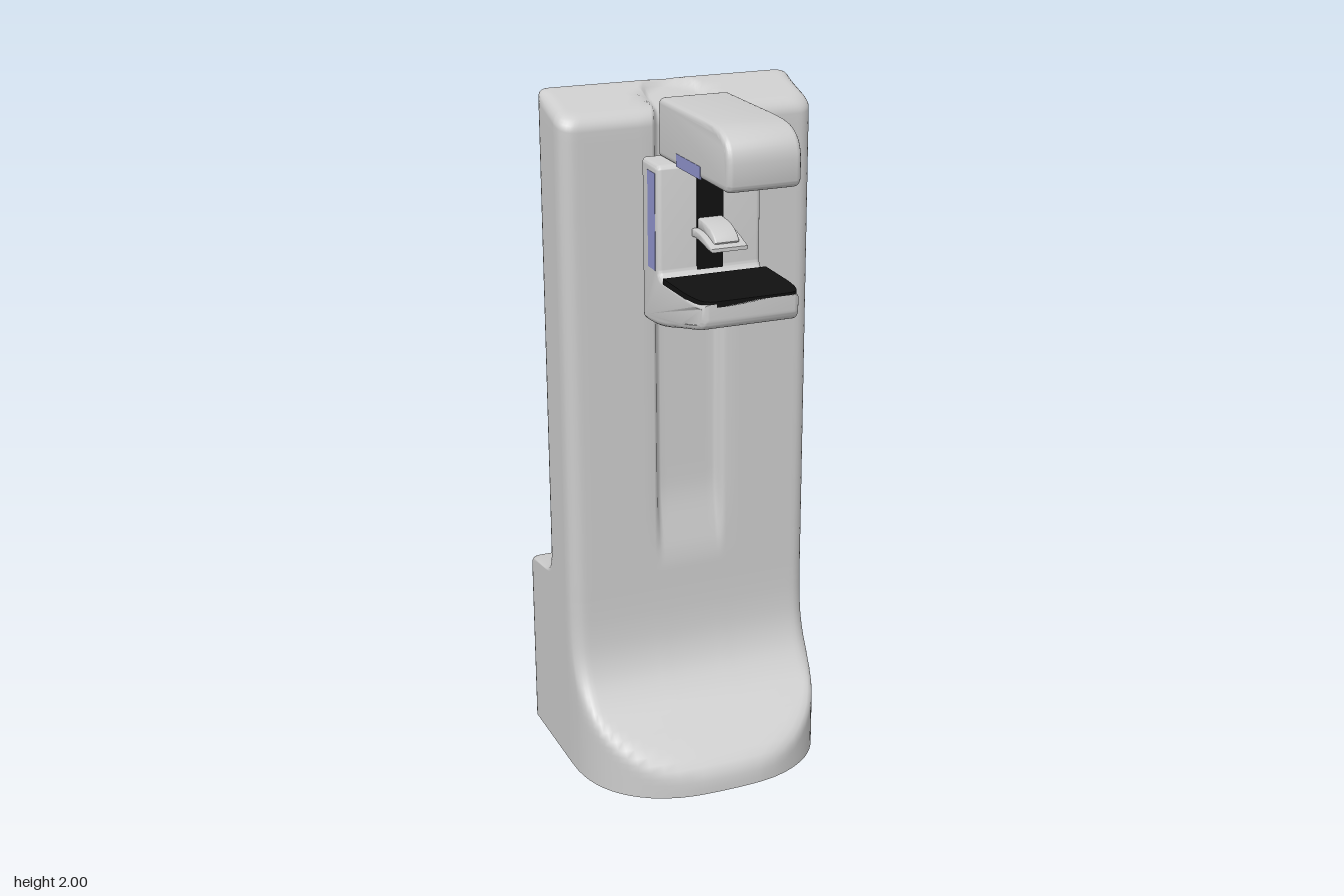
import * as THREE from 'three';
import { toCreasedNormals } from 'three/addons/utils/BufferGeometryUtils.js';

const W = 0.372, CX = -0.015, ROUND = 0.035;
const paint = (color) => new THREE.MeshStandardMaterial({ color, roughness: 0.7 });
const smooth = THREE.MathUtils.smoothstep;

// Turns [y, z] points into a function z(y) along a spline
function profile(points) {
  const pts = new THREE.SplineCurve(points.map(([y, z]) => new THREE.Vector2(y, z))).getPoints(200);
  return (y) => {
    let i = 1;
    while (i < pts.length - 1 && pts[i].x < y) i++;
    const a = pts[i - 1], b = pts[i];
    const t = THREE.MathUtils.clamp((y - a.x) / (b.x - a.x || 1), 0, 1);
    return a.y + (b.y - a.y) * t;
  };
}

const frontZ = profile([[0, 0.235], [0.03, 0.233], [0.07, 0.213], [0.13, 0.145], [0.2, 0.05], [0.25, 0.003],
  [0.3, -0.03], [0.36, -0.052], [0.43, -0.062], [0.52, -0.065], [0.7, -0.065], [2, -0.065]]);
const backZ = profile([[0, -0.45], [0.3, -0.45], [0.5, -0.45], [0.525, -0.447], [0.538, -0.435], [0.546, -0.40],
  [0.553, -0.34], [0.562, -0.30], [0.58, -0.275], [0.61, -0.263], [0.66, -0.26], [1, -0.26], [2, -0.26]]);

// How far a rounded vertical corner falls back at x
function cornerDrop(x, r) {
  const e = Math.max(0, Math.abs(x) - (W - r));
  return r - Math.sqrt(Math.max(0, r * r - e * e));
}

// Front wall: swept profile cut by the D-shaped foot, with the central groove
function frontAt(x, y) {
  const d = -0.1 + 0.328 * Math.pow(Math.max(0, 1 - Math.pow(Math.abs(x) / W, 2.4)), 1 / 2.4);
  const s = frontZ(y) - cornerDrop(x, 0.045);
  const k = 0.03, h = Math.max(k - Math.abs(d - s), 0) / k;
  const groove = 0.033 * (1 - smooth(Math.abs(x), 0.083, 0.11)) * smooth(y, 0.6, 0.86);
  return Math.min(d, s) - h * h * k * 0.25 - groove;
}

// Sloping top with a shallow arched scoop
function topY(x, z) {
  const arch = Math.hypot(x / 0.09, Math.min(0, z + 0.165) / 0.085);
  return 1.945 + (-0.07 - z) * 0.31 - 0.018 * (1 - smooth(arch, 0.85, 1.12));
}

// Plan outline of the tower at one height, counter-clockwise from above
function outline(y) {
  const half = [0, 0.03, 0.06, 0.08, 0.0875, 0.095, 0.1025, 0.112, 0.15, 0.19, 0.23, 0.26, 0.285, 0.305,
    0.32, 0.333, 0.343, 0.352, 0.36, 0.366, 0.37, W];
  const xs = [...half.slice(1).reverse().map((x) => -x), ...half];
  const back = (x) => backZ(y) + cornerDrop(x, 0.03);
  const f = frontAt(W, y), b = back(W), sides = [0.06, 0.3, 0.6, 0.94];
  return [
    ...xs.map((x) => [x, frontAt(x, y)]),
    ...sides.map((t) => [W, f + (b - f) * t]),
    ...xs.map((x) => [-x, back(x)]),
    ...sides.map((t) => [-W, b + (f - b) * t]),
  ];
}

function towerGeometry() {
  const rings = [];
  // Foot and column
  for (let y = 0; y < 0.5; y += 0.02) rings.push(outline(y).map(([x, z]) => [x, y, z]));
  for (let y = 0.5; y < 0.67; y += 0.005) rings.push(outline(y).map(([x, z]) => [x, y, z]));
  for (let y = 0.68; y <= 1.7; y += 0.034) rings.push(outline(y).map(([x, z]) => [x, y, z]));
  // Column end, following the sloping top
  const top = outline(1.8), cz = -0.165, hz = 0.1;
  for (const s of [0.3, 0.6, 0.85, 1]) {
    rings.push(top.map(([x, z]) => [x, 1.72 + s * (topY(x, z) - ROUND - 1.72), z]));
  }
  // Rounded shoulder, then the top closing on a centre line
  for (const d of [0.001, 0.004, 0.009, 0.016, 0.025, 0.035, 0.045, 0.055, 0.065, 0.075, 0.085, 0.093, 0.1]) {
    const e = Math.max(0, ROUND - d);
    const drop = ROUND - Math.sqrt(ROUND * ROUND - e * e);
    rings.push(top.map(([x0, z0]) => {
      const x = x0 * (W - d) / W, z = cz + (z0 - cz) * (hz - d) / hz;
      const nearBack = 1 - smooth(z0, -0.26, -0.2);
      return [x, topY(x, z) - drop * (1 - 0.6 * nearBack), z];
    }));
  }
  const n = rings[0].length, index = [];
  for (let j = 0; j < rings.length - 1; j++) {
    for (let i = 0; i < n; i++) {
      const a = j * n + i, b = j * n + (i + 1) % n;
      index.push(a, b, b + n, a, b + n, a + n);
    }
  }
  const g = new THREE.BufferGeometry();
  g.setAttribute('position', new THREE.Float32BufferAttribute(rings.flat(2), 3));
  g.setIndex(index);
  g.computeVertexNormals();
  return g;
}

// Side profile in (z, y), extruded across x with rounded edges
function sideExtrude(shape, width, bevel) {
  const g = new THREE.ExtrudeGeometry(shape, {
    depth: width - 2 * bevel, bevelSize: bevel, bevelThickness: bevel, bevelOffset: -bevel,
    bevelSegments: 4, curveSegments: 10,
  });
  g.translate(0, 0, bevel - width / 2);
  g.rotateY(-Math.PI / 2);
  return g;
}

export function createModel() {
  const model = new THREE.Group();
  const grey = paint(0xcccccc), black = paint(0x111111), blue = paint(0x8f93cc);
  const add = (name, geometry, material, x = CX, y = 0, z = 0) => {
    const mesh = new THREE.Mesh(geometry, material);
    mesh.name = name;
    mesh.position.set(x, y, z);
    model.add(mesh);
    return mesh;
  };

  // Tower, open underneath
  const shell = paint(0xcccccc);
  shell.side = THREE.DoubleSide;
  add('tower', towerGeometry(), shell, 0);

  // Upper arm
  const arm = new THREE.Shape();
  arm.moveTo(-0.01, 1.84);
  arm.lineTo(0.43, 1.84);
  arm.quadraticCurveTo(0.452, 1.842, 0.455, 1.865);
  arm.lineTo(0.455, 1.915);
  arm.bezierCurveTo(0.452, 1.965, 0.42, 1.993, 0.35, 1.998);
  arm.lineTo(0.28, 2);
  arm.lineTo(0.01, 2);
  arm.quadraticCurveTo(-0.01, 2, -0.01, 1.98);
  add('upperArm', toCreasedNormals(sideExtrude(arm, 0.204, 0.016), 0.7), grey);

  // Upright and lower shelf
  const bracket = new THREE.Shape();
  bracket.moveTo(-0.01, 1.41);
  bracket.quadraticCurveTo(-0.01, 1.397, 0.005, 1.397);
  bracket.bezierCurveTo(0.12, 1.397, 0.2, 1.43, 0.3, 1.453);
  bracket.lineTo(0.345, 1.463);
  bracket.quadraticCurveTo(0.385, 1.472, 0.385, 1.5);
  bracket.lineTo(0.385, 1.54);
  for (const z of [0.375, 0.36, 0.34, 0.31, 0.27]) bracket.lineTo(z, 1.54);
  bracket.lineTo(0.125, 1.54);
  bracket.quadraticCurveTo(0.105, 1.542, 0.105, 1.565);
  bracket.lineTo(0.105, 1.822);
  bracket.quadraticCurveTo(0.105, 1.842, 0.085, 1.842);
  bracket.lineTo(-0.01, 1.842);
  const bracketGeo = sideExtrude(bracket, 0.3, 0.014);
  const pos = bracketGeo.attributes.position;
  for (let i = 0; i < pos.count; i++) {
    const t = THREE.MathUtils.clamp((pos.getZ(i) - 0.25) / 0.135, 0, 1);
    pos.setX(i, pos.getX(i) * (1 - 0.12 * t ** 3));
  }
  add('bracket', toCreasedNormals(bracketGeo, 0.7), grey);

  // Shelf pad with rounded front corners
  const pad = new THREE.Shape();
  pad.moveTo(-0.15, 0.14);
  pad.lineTo(0.15, 0.14);
  pad.lineTo(0.148, 0.28);
  pad.bezierCurveTo(0.143, 0.36, 0.135, 0.385, 0.1, 0.385);
  pad.lineTo(-0.1, 0.385);
  pad.bezierCurveTo(-0.135, 0.385, -0.143, 0.36, -0.148, 0.28);
  const padGeo = new THREE.ExtrudeGeometry(pad, { depth: 0.016, bevelEnabled: false, curveSegments: 10 });
  padGeo.rotateX(Math.PI / 2);
  add('shelfPad', padGeo, black, CX, 1.547);

  // Slot in the upright
  add('slot', new THREE.BoxGeometry(0.076, 0.285, 0.008), black, CX, 1.685, 0.104);

  // Coloured strips on both sides
  for (const side of [-1, 1]) {
    add('uprightStrip', new THREE.BoxGeometry(0.004, 0.265, 0.052), blue, CX + side * 0.149, 1.687, 0.062);
    add('armStrip', new THREE.BoxGeometry(0.004, 0.034, 0.16), blue, CX + side * 0.101, 1.858, 0.2);
  }

  // Curved lever: narrow stem and wide lip
  const stem = new THREE.Shape();
  stem.moveTo(0.1, 1.66);
  stem.quadraticCurveTo(0.17, 1.665, 0.215, 1.638);
  stem.lineTo(0.222, 1.652);
  stem.bezierCurveTo(0.2, 1.685, 0.16, 1.693, 0.1, 1.693);
  add('leverStem', toCreasedNormals(sideExtrude(stem, 0.072, 0.006), 0.7), grey);
  const lip = new THREE.Shape();
  lip.moveTo(0.105, 1.643);
  lip.bezierCurveTo(0.16, 1.65, 0.2, 1.63, 0.24, 1.632);
  lip.lineTo(0.24, 1.642);
  lip.bezierCurveTo(0.2, 1.652, 0.17, 1.672, 0.105, 1.665);
  add('leverLip', toCreasedNormals(sideExtrude(lip, 0.105, 0.004), 0.7), grey);
  return model;
}
